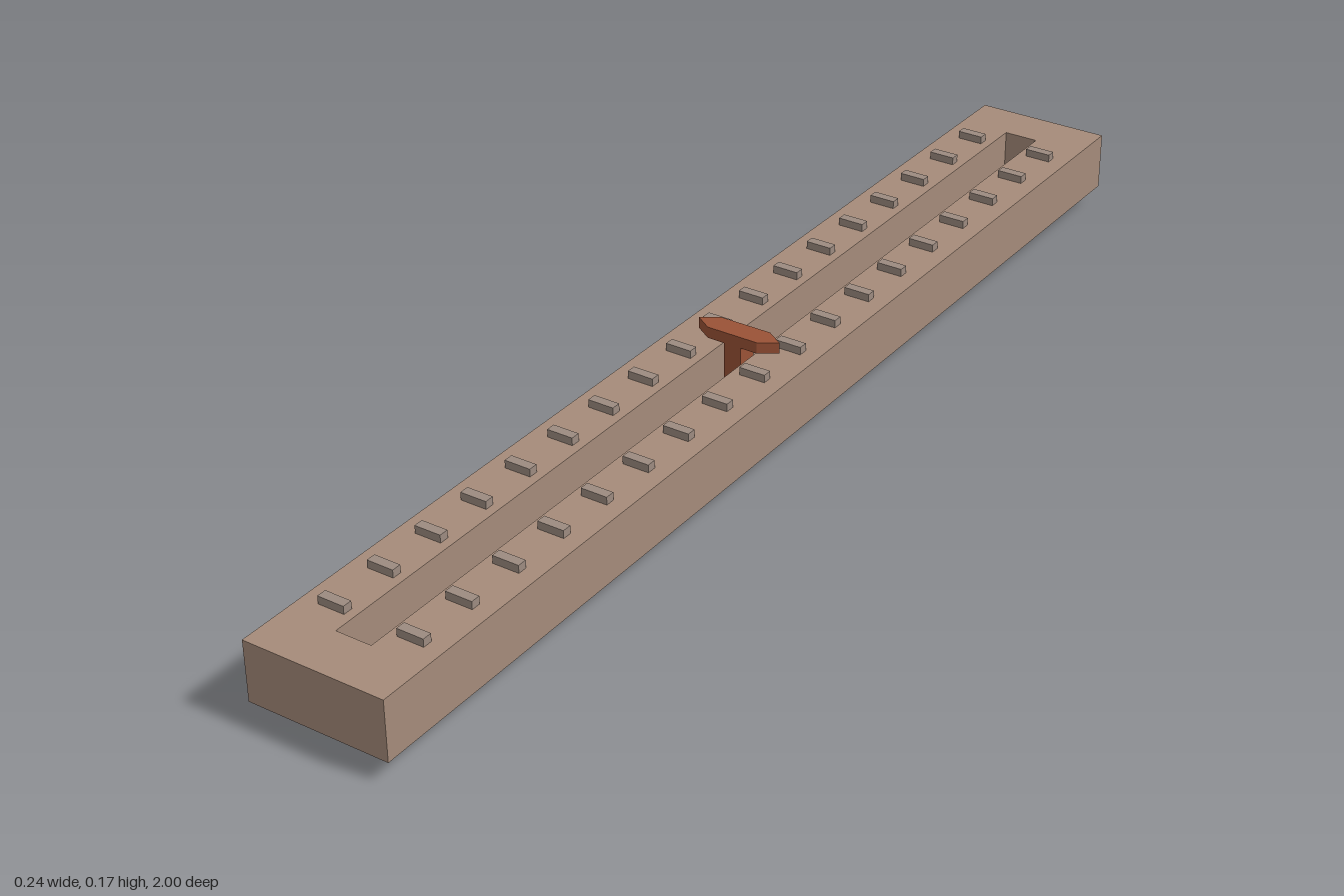
import * as THREE from 'three';

const bodyMat = new THREE.MeshStandardMaterial({ color: 0xa58b7a });
const tickMat = new THREE.MeshStandardMaterial({ color: 0x9c8b80 });
const sliderMat = new THREE.MeshStandardMaterial({ color: 0x9a5236 });

function add(parent, name, geometry, material, x = 0, y = 0, z = 0) {
  const mesh = new THREE.Mesh(geometry, material);
  mesh.name = name;
  mesh.position.set(x, y, z);
  parent.add(mesh);
  return mesh;
}

// Closed outline from [x, z] corners
const outline = (points) => points.map(([x, z]) => new THREE.Vector2(x, z));
const rect = (x, z) => outline([[-x, -z], [x, -z], [x, z], [-x, z]]);

// Extrude a plan outline upwards from y = 0
function slab(points, height, hole) {
  const shape = new THREE.Shape(points);
  if (hole) shape.holes.push(new THREE.Path(hole));
  return new THREE.ExtrudeGeometry(shape, { depth: height, bevelEnabled: false }).rotateX(-Math.PI / 2);
}

export function createModel() {
  const model = new THREE.Group();
  model.name = 'sliderControl';

  const bottom = 0.035, floor = 0.065, top = 0.135;

  // Body: solid base with a slotted upper layer
  const body = new THREE.Group();
  body.name = 'body';
  model.add(body);
  add(body, 'base', new THREE.BoxGeometry(0.238, floor - bottom, 2), bodyMat, 0, (floor + bottom) / 2);
  add(body, 'slottedTop', slab(rect(0.119, 1), top - floor, rect(0.03, 0.917)), bodyMat, 0, floor);

  // Two rows of raised scale marks
  const ticks = new THREE.Group();
  ticks.name = 'scaleMarks';
  model.add(ticks);
  const tickGeo = new THREE.BoxGeometry(0.045, 0.013, 0.016);
  for (let i = 0; i < 18; i++) {
    for (const side of [-1, 1]) {
      add(ticks, 'scaleMark', tickGeo, tickMat, side * 0.0675, top + 0.0065, -0.859 + i * 0.102);
    }
  }

  // Slider: stem through the body and a six-sided cap
  const slider = new THREE.Group();
  slider.name = 'slider';
  model.add(slider);
  add(slider, 'stem', new THREE.BoxGeometry(0.03, 0.149, 0.037), sliderMat, 0, 0.0745);
  const cap = outline([[-0.074, 0], [-0.045, -0.019], [0.045, -0.019], [0.074, 0], [0.045, 0.019], [-0.045, 0.019]]);
  add(slider, 'cap', slab(cap, 0.019), sliderMat, 0, 0.149);

  return model;
}
